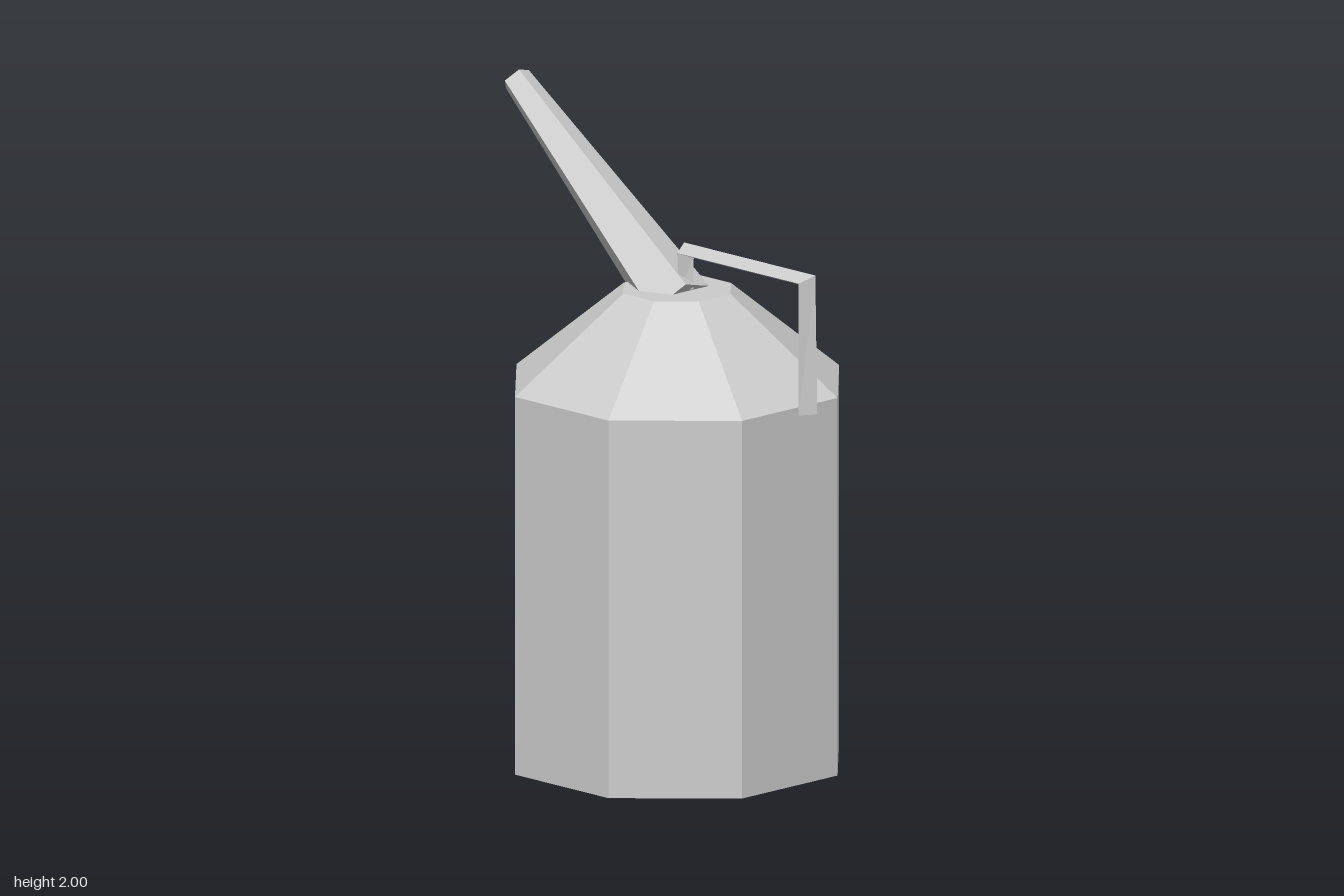
import * as THREE from 'three';

// Closed triangular bar swept along rings of [z, y, tilt, radius]
function triangularBar(rings) {
  const pos = [], index = [], sides = 3;
  for (const [z, y, tilt, r] of rings) {
    for (let k = 0; k < sides; k++) {
      const a = Math.PI + (k / sides) * Math.PI * 2;
      const n = r * Math.sin(a);
      pos.push(r * Math.cos(a), y + n * Math.sin(tilt), z + n * Math.cos(tilt));
    }
  }
  for (let i = 0; i < rings.length - 1; i++) {
    for (let k = 0; k < sides; k++) {
      const a = i * sides + k, b = i * sides + (k + 1) % sides;
      index.push(a, a + sides, b, b, a + sides, b + sides);
    }
  }
  const e = (rings.length - 1) * sides;
  index.push(0, 1, 2, e, e + 2, e + 1);
  const geo = new THREE.BufferGeometry();
  geo.setAttribute('position', new THREE.Float32BufferAttribute(pos, 3));
  geo.setIndex(index);
  geo.computeVertexNormals();
  return geo;
}

export function createModel() {
  const group = new THREE.Group();
  const metal = new THREE.MeshStandardMaterial({ color: 0xcccccc, flatShading: true });
  metal.name = 'light grey metal';

  const add = (name, geo) => {
    const mesh = new THREE.Mesh(geo, metal);
    mesh.name = name;
    group.add(mesh);
    return mesh;
  };

  // Octagonal can with sloping shoulder and flat top
  const profile = [[0, 0], [0.52, 0], [0.52, 1.16], [0.173, 1.445], [0, 1.445]]
    .map(([x, y]) => new THREE.Vector2(x, y));
  const body = add('body', new THREE.LatheGeometry(profile, 8, Math.PI / 8));
  body.position.z = 0.07;

  // Five-sided tapering spout leaning to the back
  const base = new THREE.Vector3(0, 1.395, 0.075);
  const tip = new THREE.Vector3(0, 1.966, -0.617);
  const axis = tip.clone().sub(base);
  const spout = add('spout',
    new THREE.CylinderGeometry(0.046, 0.11, axis.length(), 5, 1, false, -Math.PI / 2));
  spout.position.copy(base).add(tip).multiplyScalar(0.5);
  spout.rotation.x = Math.atan2(axis.z, axis.y);

  // Bent handle: long front grip, top bar, short leg into the spout
  add('handle', triangularBar([
    [0.622, 1.16, 0, 0.033],
    [0.622, 1.565, Math.PI / 4, 0.033],
    [0.104, 1.565, Math.PI * 3 / 4, 0.033],
    [0.104, 1.45, Math.PI, 0.026],
  ]));

  return group;
}
